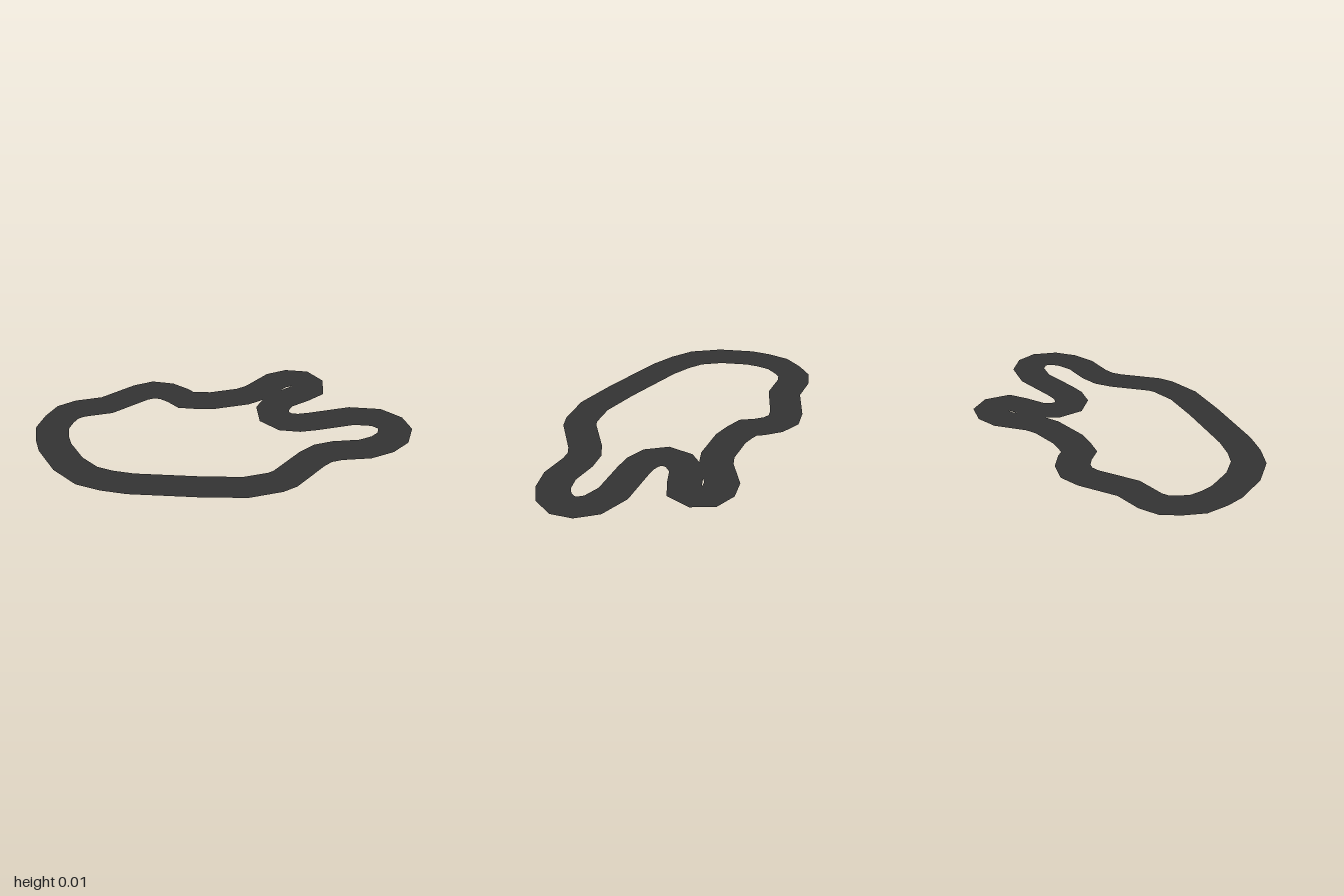
import * as THREE from 'three';

// Centreline of the circuit as [x, z], clockwise from the left side
const CENTRE = [
  [-0.904, -0.024], [-0.914, -0.11], [-0.909, -0.206], [-0.866, -0.286], [-0.818, -0.345],
  [-0.749, -0.372], [-0.599, -0.382], [-0.401, -0.479], [-0.326, -0.495], [-0.254, -0.468],
  [-0.198, -0.414], [-0.16, -0.361], [-0.095, -0.342], [-0.016, -0.328], [0.16, -0.34],
  [0.24, -0.37], [0.38, -0.473], [0.455, -0.489], [0.521, -0.468], [0.551, -0.414],
  [0.535, -0.345], [0.476, -0.313], [0.358, -0.265], [0.299, -0.19], [0.294, -0.11],
  [0.342, -0.051], [0.412, -0.029], [0.487, -0.029], [0.711, -0.045], [0.84, -0.008],
  [0.898, 0.056], [0.909, 0.12], [0.872, 0.195], [0.802, 0.243], [0.701, 0.27],
  [0.551, 0.259], [0.471, 0.27], [0.406, 0.307], [0.23, 0.452], [0.176, 0.473],
  [0.021, 0.489], [-0.198, 0.447], [-0.545, 0.361], [-0.663, 0.313], [-0.759, 0.254],
  [-0.845, 0.136],
];
const HALF_WIDTH = 0.087;

// Flat closed ribbon: two edge points per centreline point
function ribbon(path, half) {
  const n = path.length, pos = [], normal = [], index = [];
  const unit = (a, b) => new THREE.Vector2(b[0] - a[0], b[1] - a[1]).normalize();
  path.forEach((p, i) => {
    const before = unit(path[(i + n - 1) % n], p);
    const after = unit(p, path[(i + 1) % n]);
    const dir = before.clone().add(after).normalize();
    // widen at corners so both straights keep their width
    const w = half / Math.max(0.88, dir.dot(after));
    for (const side of [1, -1]) {
      const x = p[0] + dir.y * w * side;
      const z = p[1] - dir.x * w * side;
      // the ground rises very slightly towards the back
      pos.push(x, THREE.MathUtils.mapLinear(p[1], 0.5, -0.5, 0, 0.007), z);
      normal.push(0, 1, 0);
    }
    const a = 2 * i, b = 2 * ((i + 1) % n);
    index.push(a, a + 1, b, b, a + 1, b + 1);
  });
  const g = new THREE.BufferGeometry();
  g.setAttribute('position', new THREE.Float32BufferAttribute(pos, 3));
  g.setAttribute('normal', new THREE.Float32BufferAttribute(normal, 3));
  g.setIndex(index);
  return g;
}

export function createModel() {
  const group = new THREE.Group();
  group.name = 'raceTrack';
  const asphalt = new THREE.MeshStandardMaterial({ color: 0x333333, side: THREE.DoubleSide });
  asphalt.name = 'asphalt';
  const road = new THREE.Mesh(ribbon(CENTRE, HALF_WIDTH), asphalt);
  road.name = 'roadSurface';
  group.add(road);
  return group;
}
